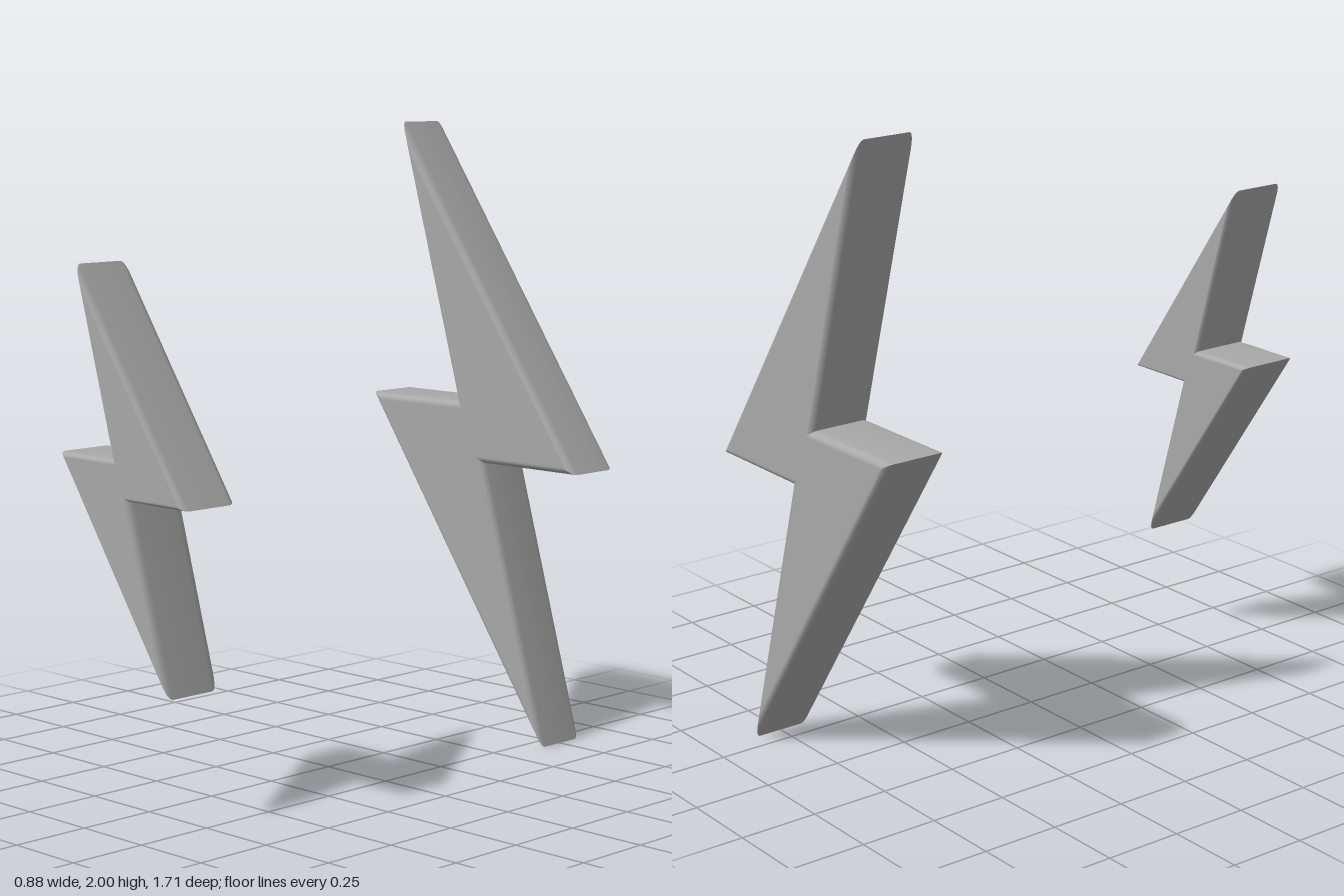
import * as THREE from 'three';
import { mergeGeometries, toCreasedNormals } from 'three/addons/utils/BufferGeometryUtils.js';

// Bolt outline about its own centre, counter-clockwise; the other half is the same turned 180 degrees
const half = [[-0.315, 1], [-0.056, 0.097], [-0.44, 0.097]];
const outline = [...half, ...half.map(([x, y]) => [-x, -y])].map(([x, y]) => new THREE.Vector2(x, y));

// Move every edge of a loop inward by d, keeping the corners mitred
function inset(loop, d) {
  return loop.map((p, i) => {
    const prev = loop[(i + loop.length - 1) % loop.length];
    const next = loop[(i + 1) % loop.length];
    const a = p.clone().sub(prev).normalize();
    const b = next.clone().sub(p).normalize();
    const n1 = new THREE.Vector2(-a.y, a.x);
    const n2 = new THREE.Vector2(-b.y, b.x);
    return n1.clone().add(n2).multiplyScalar(d / (1 + n1.dot(n2))).add(p);
  });
}

function boltGeometry(scale, depth, bevel, bevelDepth) {
  const base = outline.map((p) => p.clone().multiplyScalar(scale));
  const steps = 5;
  const rings = [];
  const addRing = (angle, side) => {
    const z = side * (depth / 2 - bevelDepth * (1 - Math.sin(angle)));
    rings.push(inset(base, bevel * (1 - Math.cos(angle))).map((p) => [p.x, p.y, z]));
  };
  // Rounded rim at the back, then at the front
  for (let i = steps; i >= 0; i--) addRing((i / steps) * Math.PI / 2, -1);
  for (let i = 0; i <= steps; i++) addRing((i / steps) * Math.PI / 2, 1);

  const sides = [];
  for (let r = 0; r < rings.length - 1; r++) {
    for (let i = 0; i < base.length; i++) {
      const j = (i + 1) % base.length;
      const a = rings[r][i], b = rings[r][j], c = rings[r + 1][j], d = rings[r + 1][i];
      sides.push(...a, ...b, ...c, ...a, ...c, ...d);
    }
  }

  // Flat front and back faces
  const caps = [];
  const front = rings[rings.length - 1], back = rings[0];
  const flat = front.map(([x, y]) => new THREE.Vector2(x, y));
  for (const [a, b, c] of THREE.ShapeUtils.triangulateShape(flat, [])) {
    caps.push(...front[a], ...front[b], ...front[c], ...back[a], ...back[c], ...back[b]);
  }

  const make = (points) => {
    const g = new THREE.BufferGeometry();
    g.setAttribute('position', new THREE.Float32BufferAttribute(points, 3));
    g.computeVertexNormals();
    return g;
  };
  return mergeGeometries([toCreasedNormals(make(sides), 0.6), make(caps)]);
}

export function createModel() {
  const group = new THREE.Group();
  const grey = new THREE.MeshStandardMaterial({ color: 0xa8a8a8 });
  grey.name = 'grey';

  const addBolt = (name, scale, z) => {
    const mesh = new THREE.Mesh(boltGeometry(scale, 0.207, 0.022 * scale, 0.026), grey);
    mesh.name = name;
    mesh.position.set(0, 1, z);
    group.add(mesh);
  };
  addBolt('largeBolt', 1, -0.75);
  addBolt('smallBolt', 0.617, 0.75);
  return group;
}
